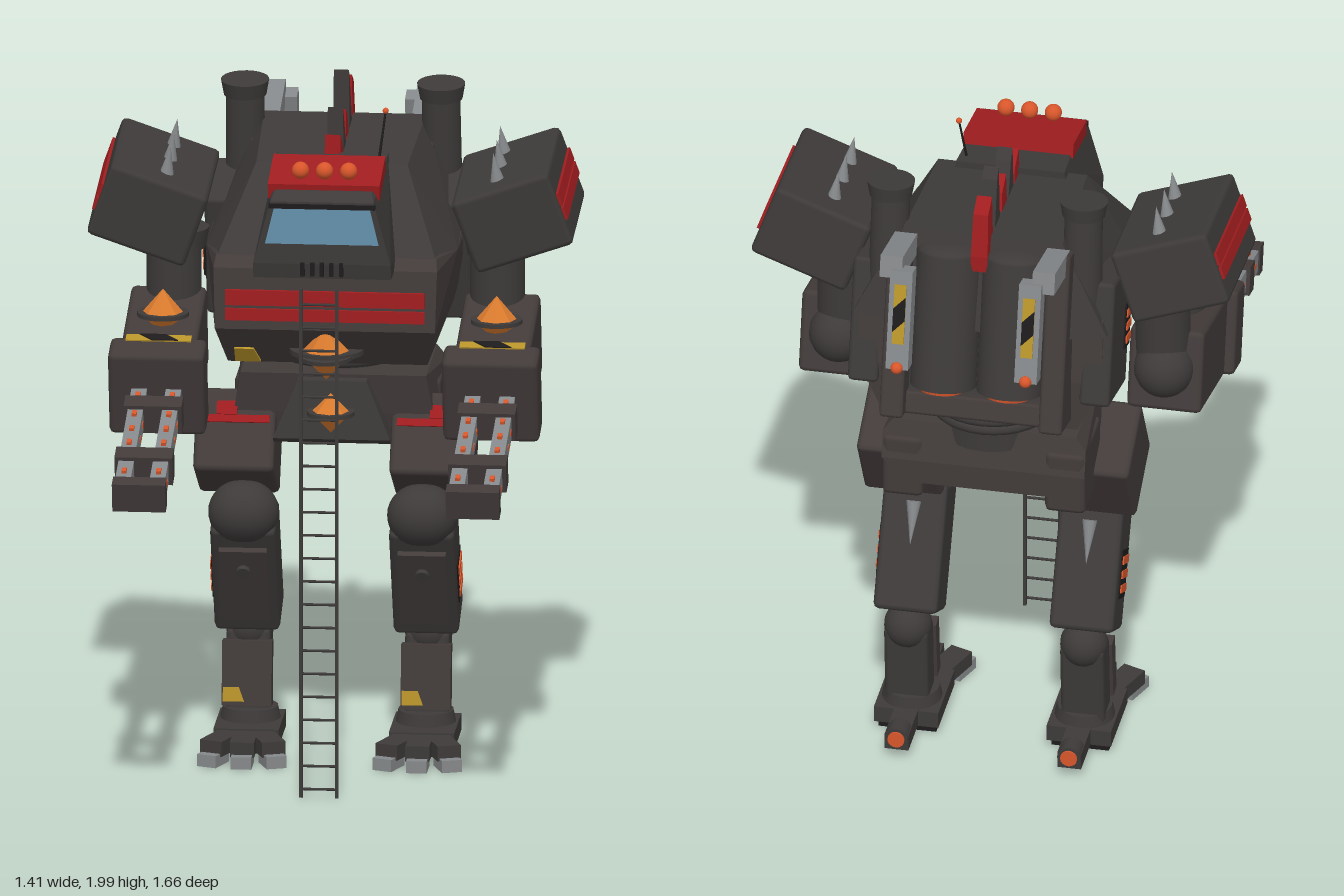
import * as THREE from 'three';
import { RoundedBoxGeometry } from 'three/addons/geometries/RoundedBoxGeometry.js';
import { ConvexGeometry } from 'three/addons/geometries/ConvexGeometry.js';

const mat = (name, color) => Object.assign(new THREE.MeshStandardMaterial({ color }), { name });
const dark = mat('charcoal', 0x3d3a39), brown = mat('warm charcoal', 0x423b3a), black = mat('black', 0x1d1b1b);
const red = mat('red', 0xa01d1f), orange = mat('orange', 0xd97a2e), lamp = mat('lamp orange', 0xd8562b);
const grey = mat('steel grey', 0x85888a), yellow = mat('yellow', 0xb8942a), glass = mat('glass blue', 0x6391ac);
const LEAN = 0.25;

function add(parent, name, geo, m, [x, y, z], [rx, ry, rz] = [0, 0, 0]) {
  const mesh = new THREE.Mesh(geo, m);
  mesh.name = name;
  mesh.position.set(x, y, z);
  mesh.rotation.set(rx, ry, rz);
  parent.add(mesh);
  return mesh;
}
function group(parent, name, [x, y, z], [rx, ry, rz] = [0, 0, 0]) {
  const g = new THREE.Group();
  g.name = name;
  g.position.set(x, y, z);
  g.rotation.set(rx, ry, rz);
  parent.add(g);
  return g;
}
// Bevelled box for armour, plain box for small pieces
function box(parent, name, m, [w, h, d], pos, rot) {
  const t = Math.min(w, h, d);
  const geo = t < 0.068 ? new THREE.BoxGeometry(w, h, d) : new RoundedBoxGeometry(w, h, d, 1, Math.min(0.016, t * 0.15));
  return add(parent, name, geo, m, pos, rot);
}
const cyl = (p, name, m, r1, r2, h, pos, rot, n = 24) => add(p, name, new THREE.CylinderGeometry(r1, r2, h, n), m, pos, rot);
const ball = (p, name, m, r, pos) => add(p, name, new THREE.SphereGeometry(r, 20, 14), m, pos);
// Convex shell from mirrored [x, y, z] corners
function shell(p, name, m, pts) {
  const v = pts.flatMap(([x, y, z]) => [new THREE.Vector3(x, y, z), new THREE.Vector3(-x, y, z)]);
  return add(p, name, new ConvexGeometry(v), m, [0, 0, 0]);
}
// Thin flat plate from [x, y] corners, facing +z
function plate(p, name, m, depth, corners, pos, rot) {
  const s = new THREE.Shape(corners.map(c => new THREE.Vector2(...c)));
  return add(p, name, new THREE.ExtrudeGeometry(s, { depth, bevelEnabled: false }), m, pos, rot);
}
// Warning plate facing +z: yellow with one slanted black band
function hazard(p, w, h, pos, rot) {
  const g = group(p, 'hazardPlate', pos, rot);
  box(g, 'hazardBase', yellow, [w, h, 0.006], [0, 0, 0]);
  plate(g, 'hazardBand', black, 0.003, [[-0.1, -0.5], [0.3, -0.5], [0.1, 0.5], [-0.3, 0.5]].map(([a, c]) => [a * w, c * h]), [0, 0, 0.003]);
}
// Yellow patch with a slanted right edge
const patch = (p, w, h, pos, rot) => plate(p, 'yellowPatch', yellow, 0.006,
  [[-w / 2, -h / 2], [w / 2, -h / 2], [w / 4, h / 2], [-w / 2, h / 2]], pos, rot);
// Eight-faced amber crystal seated in a dark disc
function crystal(p, r, h, pos, rot) {
  const g = group(p, 'crystal', pos, rot);
  cyl(g, 'crystalDisc', dark, r * 1.25, r * 1.25, 0.012, [0, 0, 0]);
  for (const s of [1, -1]) {
    const c = new THREE.ConeGeometry(r, h, 8).toNonIndexed();
    c.computeVertexNormals();
    add(g, 'crystalCone', c, orange, [0, s * (h / 2 + 0.004), 0], [s < 0 ? Math.PI : 0, 0, 0]);
  }
}
// Three glowing slats seen from the side
function vents(p, s, w, gap, pos, rot) {
  const g = group(p, 'sideVent', pos, rot);
  box(g, 'ventFrame', black, [0.012, gap * 3.4, w * 1.15], [0, 0, 0]);
  for (const i of [-1, 0, 1]) box(g, 'ventSlat', lamp, [0.012, gap * 0.55, w], [s * 0.004, i * gap, 0]);
}

function hull(p) {
  shell(p, 'upperHull', dark, [[0.22, 1.8, -0.06], [0.235, 1.84, -0.5], [0.32, 1.56, 0.13], [0.365, 1.55, -0.07],
    [0.375, 1.56, -0.54], [0.22, 1.56, -0.58]]);
  shell(p, 'lowerHull', brown, [[0.32, 1.57, 0.13], [0.325, 1.54, 0.165], [0.365, 1.55, -0.07], [0.36, 1.6, -0.52],
    [0.32, 1.36, 0.175], [0.29, 1.24, 0.08], [0.29, 1.24, -0.55], [0.36, 1.4, -0.55]]);
  for (const [y, h] of [[1.455, 0.045], [1.405, 0.035]]) box(p, 'frontStripe', red, [0.58, h, 0.02], [0, y, 0.172]);
  patch(p, 0.075, 0.06, [-0.23, 1.27, 0.107], [0.67, 0, 0]);
  crystal(p, 0.07, 0.08, [0, 1.285, 0.14], [0.15, 0, 0]);
  cyl(p, 'crystalShelf', dark, 0.11, 0.11, 0.015, [0, 1.285, 0.1]);

  // Cockpit
  shell(p, 'cockpit', dark, [[0.2, 1.54, 0.265], [0.2, 1.54, -0.1], [0.2, 1.585, 0.275], [0.15, 1.77, 0.275],
    [0.14, 1.79, 0.22], [0.16, 1.825, -0.1]]);
  plate(p, 'windshield', glass, 0.006, [[-0.165, 1.645], [0.165, 1.645], [0.14, 1.75], [-0.14, 1.75]], [0, 0, 0.273]);
  box(p, 'windowVisor', black, [0.31, 0.014, 0.02], [0, 1.757, 0.27]);
  box(p, 'roofPlate', red, [0.325, 0.045, 0.2], [0, 1.805, 0.115], [0.2, 0, 0]);
  for (let i = -2; i <= 2; i++) box(p, 'grilleSlot', black, [0.012, 0.04, 0.014], [i * 0.028, 1.57, 0.277]);
  for (const x of [-0.07, 0, 0.07]) ball(p, 'roofLamp', lamp, 0.025, [x, 1.842, 0.185]);
  cyl(p, 'antenna', black, 0.003, 0.004, 0.15, [0.145, 1.88, -0.07], [-0.2, 0, -0.12], 8);
  ball(p, 'antennaTip', lamp, 0.009, [0.154, 1.955, -0.085]);

  // Alternating crest fins down the spine
  [[-0.12, 1.88, red], [-0.21, 1.94, dark], [-0.305, 1.91, red], [-0.41, 2.0, dark], [-0.51, 1.96, red]].forEach(([z, top, m]) => {
    shell(p, 'crestFin', m, [[0.025, 1.75, z + 0.042], [0.025, 1.75, z - 0.045], [0.025, 1.8, z - 0.045],
      [0.022, top, z + 0.036], [0.022, top - 0.03, z + (m === red ? -0.02 : 0.01)]]);
  });

  for (const s of [-1, 1]) {
    box(p, 'sidePod', dark, [0.09, 0.38, 0.26], [s * 0.342, 1.49, -0.4], [LEAN, 0, 0]);
    vents(p, s, 0.06, 0.04, [s * 0.386, 1.47, -0.315], [LEAN, 0, 0]);
    cyl(p, 'smokestack', dark, 0.055, 0.06, 0.36, [s * 0.285, 1.75, -0.45], [0.1, 0, 0]);
    cyl(p, 'stackCap', dark, 0.07, 0.062, 0.045, [s * 0.285, 1.93, -0.432], [0.1, 0, 0]);
  }
}

function backpack(p) {
  const g = group(p, 'backpack', [0, 1.56, -0.52], [LEAN, 0, 0]);
  box(g, 'packWall', dark, [0.54, 0.53, 0.1], [0, -0.015, 0.03]);
  box(g, 'packLedge', brown, [0.54, 0.07, 0.13], [0, -0.255, 0.01]);
  for (const s of [-1, 1]) {
    box(g, 'packSide', brown, [0.07, 0.55, 0.16], [s * 0.235, -0.018, -0.02]);
    cyl(g, 'tank', dark, 0.097, 0.097, 0.41, [s * 0.098, 0.01, -0.025]);
    ball(g, 'tankDome', dark, 0.097, [s * 0.098, 0.215, -0.025]).scale.y = 0.35;
    cyl(g, 'tankNozzle', lamp, 0.07, 0.065, 0.012, [s * 0.098, -0.2, -0.045]);
    // Hooked rear rails
    box(p, 'railTop', grey, [0.066, 0.066, 0.22], [s * 0.225, 1.82, -0.62], [0.24, 0, 0]);
    const r = group(p, 'railPost', [s * 0.19, 1.695, -0.755], [LEAN, 0, 0]);
    box(r, 'post', grey, [0.066, 0.3, 0.06], [0, 0, 0]);
    hazard(r, 0.18, 0.035, [0, 0.02, -0.034], [0, Math.PI, Math.PI / 2]);
    ball(r, 'railLamp', lamp, 0.018, [0, -0.145, -0.03]);
  }
}

function arm(p, s) {
  // Shoulder pod, tipped up at its outer end
  const pod = group(p, 'shoulderPod', [s * 0.53, 1.67, -0.19], [0.1, 0, s * 0.34]);
  box(pod, 'podShell', dark, [0.3, 0.23, 0.42], [0, 0, 0]);
  for (const y of [0.025, -0.02]) box(pod, 'podStripe', red, [0.014, 0.038, 0.39], [s * 0.151, y, 0]);
  for (const z of [-0.115, 0, 0.115]) cyl(pod, 'podSpike', grey, 0, 0.022, 0.09, [s * -0.005, 0.15, z], [0, 0, s * -0.2], 12);
  cyl(p, 'shoulderCollar', dark, 0.1, 0.09, 0.06, [s * 0.47, 1.535, -0.21]);
  cyl(p, 'upperArm', dark, 0.08, 0.08, 0.26, [s * 0.47, 1.41, -0.19]);
  ball(p, 'elbow', dark, 0.088, [s * 0.48, 1.275, -0.225]);

  const g = group(p, 'forearm', [s * 0.485, 1.215, -0.01], [0.24, 0, 0]);
  box(g, 'forearmShell', brown, [0.22, 0.25, 0.46], [0, 0, 0]);
  box(g, 'forearmPlate', brown, [0.28, 0.26, 0.12], [0, 0.01, 0.18]);
  hazard(g, 0.19, 0.035, [0, 0.141, 0.132], [-Math.PI / 2, 0, 0]);
  crystal(g, 0.06, 0.07, [0, 0.145, -0.015], [-0.24, 0, 0]);
  for (const x of [-0.05, 0.05]) {
    box(g, 'gunBarrel', grey, [0.045, 0.066, 0.62], [x, 0, 0.52]);
    for (const z of [0.285, 0.4, 0.49, 0.575, 0.75]) {
      box(g, 'barrelLight', lamp, [0.014, 0.084, 0.022], [x, 0, z]);
      box(g, 'barrelLight', lamp, [0.05, 0.014, 0.022], [x, 0, z]);
    }
  }
  for (const [z, w] of [[0.335, 0.168], [0.65, 0.168], [0.825, 0.155]]) box(g, 'gunClamp', brown, [w, 0.088, z > 0.8 ? 0.05 : 0.065], [0, 0, z]);
}

function waist(p) {
  cyl(p, 'waistCore', dark, 0.17, 0.17, 0.2, [0, 1.2, -0.335]);
  for (const [y, r] of [[1.18, 0.19], [1.215, 0.2], [1.245, 0.205]])
    add(p, 'waistRing', new THREE.TorusGeometry(r - 0.018, 0.018, 8, 32), dark, [0, y, -0.335], [Math.PI / 2, 0, 0]);
  shell(p, 'pelvis', brown, [[0.27, 1.16, -0.1], [0.27, 1.16, -0.47], [0.3, 1.12, -0.48], [0.3, 1.04, -0.5],
    [0.2, 0.965, -0.5], [0.2, 0.965, -0.14], [0.29, 1.04, -0.12]]);
  for (const s of [-1, 1]) box(p, 'hipBlock', brown, [0.12, 0.2, 0.24], [s * 0.24, 1.01, -0.375]);
  shell(p, 'pelvisApron', dark, [[0.1, 1.15, -0.06], [0.17, 0.98, -0.04], [0.17, 0.965, -0.06], [0.1, 1.15, -0.2], [0.17, 0.965, -0.2]]);
  crystal(p, 0.055, 0.055, [0, 1.065, -0.02]);
}

function leg(p, s) {
  const x = s * 0.26;
  const t = group(p, 'thigh', [s * 0.285, 0.93, -0.2], [-0.52, 0, 0]);
  box(t, 'thighShell', brown, [0.235, 0.25, 0.25], [0, 0, 0]);
  box(t, 'thighStripe', red, [0.2, 0.022, 0.012], [0, 0.03, 0.126]);
  box(t, 'hipPlate', red, [0.06, 0.04, 0.014], [s * 0.025, 0.062, 0.126]);
  add(p, 'knee', new THREE.CapsuleGeometry(0.09, 0.025, 8, 24), dark, [x, 0.745, -0.095], [0, 0, Math.PI / 2]);

  const sh = group(p, 'shin', [x, 0.56, -0.205], [0.46, 0, 0]);
  box(sh, 'shinShell', dark, [0.19, 0.38, 0.16], [0, 0, 0]);
  box(sh, 'shinGuard', brown, [0.14, 0.26, 0.03], [0, 0, 0.085]);
  vents(sh, s, 0.08, 0.042, [s * 0.093, -0.02, 0], [0, 0, 0]);
  cyl(sh, 'calfSpike', grey, 0.022, 0, 0.13, [0, 0.07, -0.085], [0, 0, 0], 10);
  cyl(sh, 'shinBolt', dark, 0.02, 0.02, 0.03, [0, 0.06, 0.1], [Math.PI / 2, 0, 0], 16);
  ball(p, 'ankleJoint', dark, 0.07, [x, 0.35, -0.305]);

  // Lower leg and clawed foot
  box(p, 'lowerLeg', dark, [0.13, 0.26, 0.1], [x, 0.22, -0.29], [-0.08, 0, 0]);
  const guard = group(p, 'ankleGuard', [x, 0.23, -0.225], [-0.12, 0, 0]);
  box(guard, 'guardPlate', brown, [0.145, 0.19, 0.045], [0, 0, 0]);
  patch(guard, 0.062, 0.042, [-0.038, -0.062, 0.02]);
  const f = group(p, 'foot', [s * 0.255, 0, -0.24]);
  cyl(f, 'footCollar', dark, 0.08, 0.09, 0.045, [0, 0.1, -0.03]);
  box(f, 'sole', black, [0.17, 0.03, 0.2], [0, 0.025, 0]);
  box(f, 'footBody', dark, [0.19, 0.05, 0.24], [0, 0.062, 0]);
  for (const a of [-0.36, 0, 0.36]) {
    const toe = group(f, 'toe', [0, 0, 0], [0, a, 0]);
    box(toe, 'toeBar', dark, [0.07, 0.045, 0.24], [0, 0.06, 0.14]);
    box(toe, 'claw', grey, [0.06, 0.036, 0.09], [0, 0.028, 0.245]);
  }
  box(f, 'heelBar', dark, [0.07, 0.05, 0.16], [0, 0.065, -0.18]);
  cyl(f, 'heelDrum', dark, 0.035, 0.035, 0.06, [0, 0.078, -0.235], [Math.PI / 2, 0, 0], 16);
  cyl(f, 'heelLamp', lamp, 0.025, 0.025, 0.012, [0, 0.078, -0.265], [Math.PI / 2, 0, 0], 16);
}

function ladder(p) {
  const g = group(p, 'ladder', [0, 0, 0.372]);
  for (const x of [-0.052, 0.052]) box(g, 'ladderRail', dark, [0.01, 1.52, 0.012], [x, 0.775, 0]);
  for (let i = 0; i < 22; i++) cyl(g, 'ladderRung', dark, 0.004, 0.004, 0.1, [0, 0.04 + i * 0.069, 0], [0, 0, Math.PI / 2], 6);
}

export function createModel() {
  const model = new THREE.Group();
  model.name = 'walkingMachine';
  hull(group(model, 'torso', [0, 0, 0]));
  backpack(model);
  waist(group(model, 'waist', [0, 0, 0]));
  for (const s of [-1, 1]) {
    arm(group(model, s > 0 ? 'leftArm' : 'rightArm', [0, 0, 0]), s);
    leg(group(model, s > 0 ? 'leftLeg' : 'rightLeg', [0, 0, 0]), s);
  }
  ladder(model);
  return model;
}
